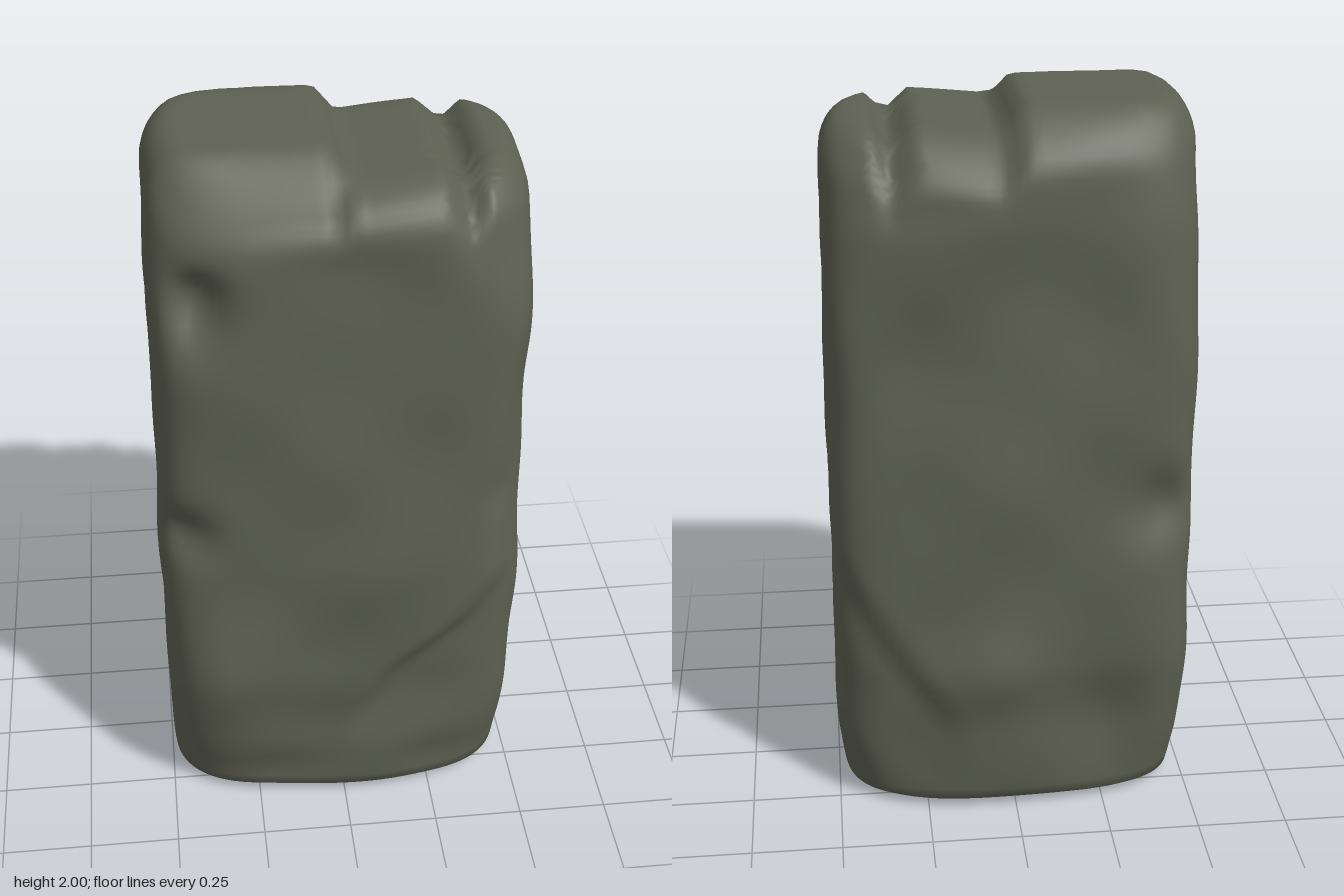
import * as THREE from 'three';
import { mergeVertices } from 'three/addons/utils/BufferGeometryUtils.js';

const { smoothstep, lerp } = THREE.MathUtils;

// Piecewise linear lookup in a short list of [position, value]
function profile(points, t) {
  if (t <= points[0][0]) return points[0][1];
  for (let i = 1; i < points.length; i++) {
    const [a, va] = points[i - 1], [b, vb] = points[i];
    if (t <= b) return lerp(va, vb, (t - a) / (b - a));
  }
  return points[points.length - 1][1];
}

// Broken top edge from left to right
const topLine = [[-0.5, 1.99], [-0.42, 2], [-0.03, 2], [0.03, 1.93], [0.25, 1.95], [0.32, 1.89], [0.37, 1.95], [0.5, 1.95]];
// Half depth of the front and back faces by height
const frontLine = [[0, 0.355], [0.2, 0.375], [0.46, 0.39], [0.85, 0.39], [1.25, 0.38], [1.85, 0.37], [2, 0.36]];
const backLine = [[0, 0.345], [0.2, 0.365], [0.45, 0.38], [0.9, 0.375], [1.4, 0.37], [1.85, 0.36], [2, 0.35]];
// Half width of the sides by height
const sideLine = [[0, 0.485], [0.15, 0.496], [0.8, 0.497], [1.5, 0.493], [1.9, 0.49], [2, 0.487]];
// Edge of the raised slab on each face: x by height
const frontSlab = [[0.3, 0], [0.48, 0.1], [0.65, 0.3], [0.78, 0.39], [0.95, 0.41], [1.05, 0.37], [1.4, 0.43], [2, 0.55]];
const backSlab = [[0.3, 0.15], [0.5, 0.28], [0.8, 0.46], [1, 0.6]];

// Dents and swellings: x, y, x radius, y radius, height
const frontMarks = [
  [-0.38, 1.66, 0.07, 0.11, -0.07], [-0.1, 1.25, 0.18, 0.25, 0.012], [-0.44, 0.97, 0.08, 0.07, -0.05],
  [-0.36, 0.47, 0.12, 0.16, 0.025], [0.1, 0.82, 0.16, 0.16, 0.02], [-0.05, 0.3, 0.14, 0.12, -0.02],
  [0.25, 0.12, 0.12, 0.08, -0.02], [-0.2, 0.1, 0.14, 0.08, -0.02], [0.1, 1.75, 0.15, 0.15, -0.012],
];
const backMarks = [
  [0.06, 0.45, 0.13, 0.12, 0.035], [0.3, 1.35, 0.14, 0.2, -0.03], [-0.2, 1.5, 0.16, 0.2, -0.025],
  [0.05, 1.7, 0.16, 0.12, 0.01], [-0.4, 0.93, 0.09, 0.1, -0.05], [0.1, 1.0, 0.18, 0.22, 0.012],
  [-0.25, 0.3, 0.13, 0.16, -0.04], [0.3, 0.2, 0.1, 0.12, -0.02],
];
function marks(list, x, y) {
  let sum = 0;
  for (const [cx, cy, rx, ry, h] of list) sum += h * Math.exp(-(((x - cx) / rx) ** 2) - ((y - cy) / ry) ** 2);
  return sum;
}

// Small rolling unevenness
const ripple = (a, b, k) => 0.005 * (Math.sin(a * 9 + k) * Math.cos(b * 7 - k) + 0.7 * Math.sin(a * 13 + k * 2) * Math.cos(b * 15 + k));

function carve(p) {
  const u = Math.abs(p.x) / 0.5, v = Math.abs(p.z) / 0.39;
  const q = Math.max(u, v);
  const high = p.y > 1;

  // Round the rims at the top and the foot, wider toward front and back
  const along = q > 0 ? v * v / (u * u + v * v) : 0;
  const rq = high ? lerp(0.14, 0.4, along) : lerp(0.1, 0.3, along);
  const ry = high ? 0.12 : 0.04;
  const rim = high ? 2 - ry : ry;
  const dq = Math.max(0, q - 1 + rq) / rq;
  const dy = Math.max(0, high ? p.y - rim : rim - p.y) / ry;
  let radius = q;
  if (dq > 0 && dy > 0) {
    const length = Math.hypot(dq, dy);
    radius = 1 - rq + rq * dq / length;
    p.y = rim + (high ? 1 : -1) * ry * dy / length;
  }

  // Round the plan, nearly oval at both ends
  const y = p.y;
  const end = Math.max(smoothstep(y, 1.4, 2), 1 - smoothstep(y, 0, 0.5));
  const n = lerp(6.5, 3.2, end);
  if (q > 0) {
    const s = radius / (u ** n + v ** n) ** (1 / n);
    p.x *= s;
    p.z *= s;
  }

  const x = p.x, z = p.z;
  const front = z > 0;
  const face = smoothstep(Math.abs(z), 0.16, 0.36);
  const side = smoothstep(Math.abs(x), 0.25, 0.47);

  // Front and back faces, each with a raised slab and a recess beside it
  const slab = profile(front ? frontSlab : backSlab, y);
  let push = marks(front ? frontMarks : backMarks, x, y) + ripple(x, y, front ? 1 : 4);
  push -= 0.035 * smoothstep(x, slab - 0.02, slab + 0.09) * smoothstep(y, 0.12, 0.45);
  const depth = profile(front ? frontLine : backLine, y);
  p.z = z * depth / 0.39 + Math.sign(z) * push * face;

  // Sides
  p.x = x * profile(sideLine, y) / 0.5 + Math.sign(x) * side * ripple(z, y, x > 0 ? 2 : 6);

  // Stepped top with a sloping front left corner
  const lift = smoothstep(y, 1.65, 1.97);
  const left = 1 - smoothstep(x, -0.03, 0.03);
  p.y += (profile(topLine, x) - 2) * lift;
  p.y -= 0.09 * left * smoothstep(z, 0.17, 0.34) * lift;
  p.y -= 0.04 * smoothstep(-z, 0.2, 0.38) * lift;
}

export function createModel() {
  const stone = new THREE.MeshStandardMaterial({ color: 0x5d6051 });
  stone.name = 'darkStone';

  // One block, carved vertex by vertex with smooth shared normals
  let geometry = new THREE.BoxGeometry(1, 2, 0.78, 40, 64, 32).translate(0, 1, 0);
  geometry.deleteAttribute('normal');
  geometry.deleteAttribute('uv');
  geometry.clearGroups();
  geometry = mergeVertices(geometry);
  const pos = geometry.attributes.position;
  const p = new THREE.Vector3();
  for (let i = 0; i < pos.count; i++) {
    p.fromBufferAttribute(pos, i);
    carve(p);
    pos.setXYZ(i, p.x, p.y, p.z);
  }
  geometry.computeVertexNormals();

  const block = new THREE.Mesh(geometry, stone);
  block.name = 'stoneBlock';
  const group = new THREE.Group();
  group.name = 'standingStone';
  group.add(block);
  return group;
}
